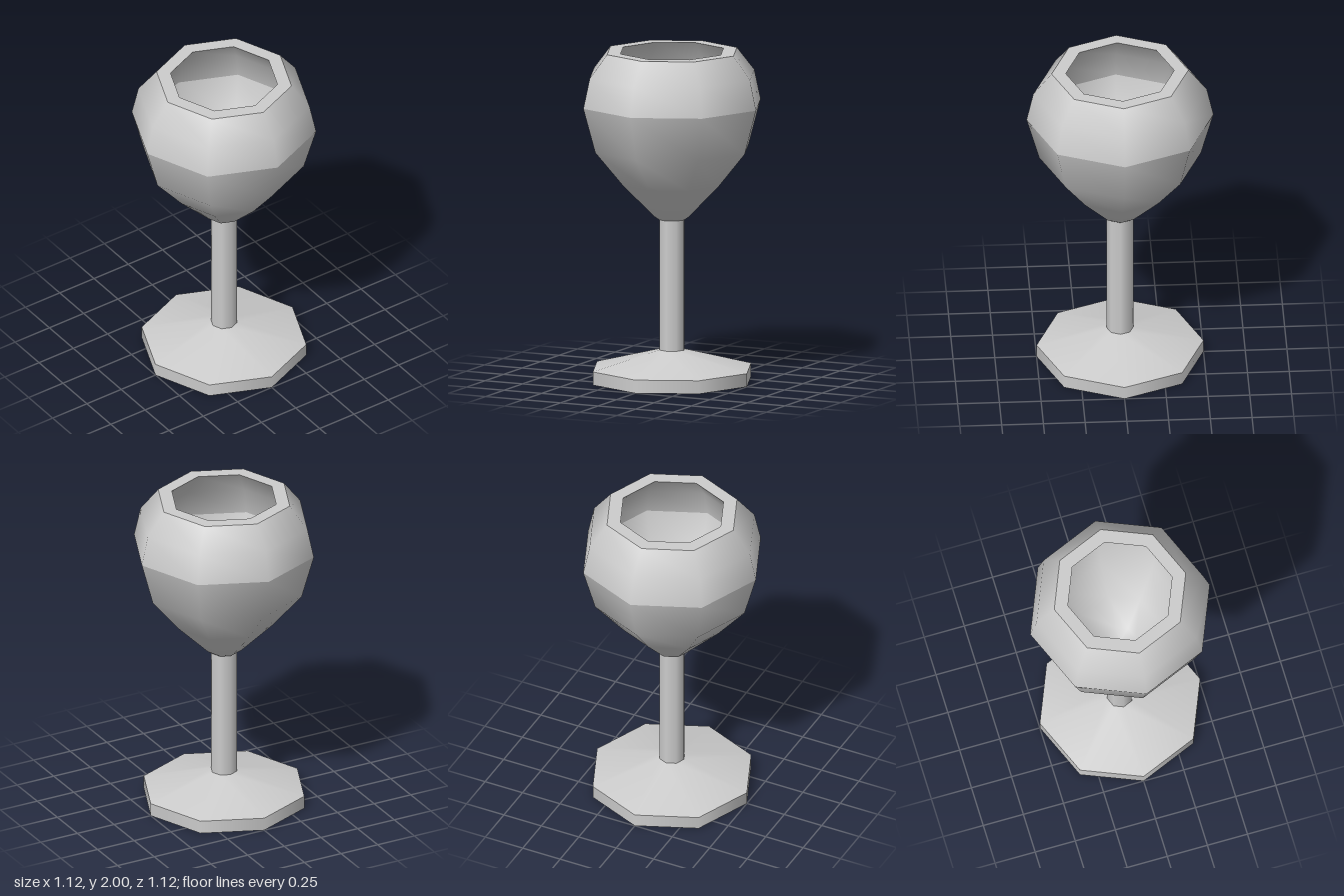
import * as THREE from 'three';

const SIDES = 8;

export function createModel() {
  const group = new THREE.Group();
  const grey = new THREE.MeshStandardMaterial({ color: 0xcccccc });
  grey.name = 'grey';

  // Each band is a smooth eight-sided lathe; separate bands keep the creases between them sharp
  const addBand = (name, parent, profile) => {
    const points = profile.map(([r, y]) => new THREE.Vector2(r, y));
    const mesh = new THREE.Mesh(new THREE.LatheGeometry(points, SIDES), grey);
    mesh.name = name;
    parent.add(mesh);
  };
  const addPart = (name) => {
    const part = new THREE.Group();
    part.name = name;
    group.add(part);
    return part;
  };

  // Foot: flat underside, low rim and shallow cone
  const foot = addPart('foot');
  addBand('footUnderside', foot, [[0, 0], [0.5, 0]]);
  addBand('footRim', foot, [[0.5, 0], [0.5, 0.08]]);
  addBand('footSlope', foot, [[0.5, 0.08], [0.08, 0.19]]);

  // Stem
  addBand('stem', group, [[0.08, 0.19], [0.08, 0.98]]);

  // Bowl: outside, lip and hollow inside
  const bowl = addPart('bowl');
  addBand('bowlLower', bowl, [[0.08, 0.98], [0.11, 1.0], [0.31, 1.2], [0.485, 1.41], [0.56, 1.68]]);
  addBand('bowlUpper', bowl, [[0.56, 1.68], [0.52, 1.86], [0.41, 2]]);
  addBand('bowlLip', bowl, [[0.41, 2], [0.325, 2]]);
  addBand('bowlInsideUpper', bowl, [[0.325, 2], [0.435, 1.85], [0.475, 1.68]]);
  addBand('bowlInsideLower', bowl, [[0.475, 1.68], [0.405, 1.44], [0.25, 1.25], [0.1, 1.11], [0, 1.09]]);

  return group;
}
